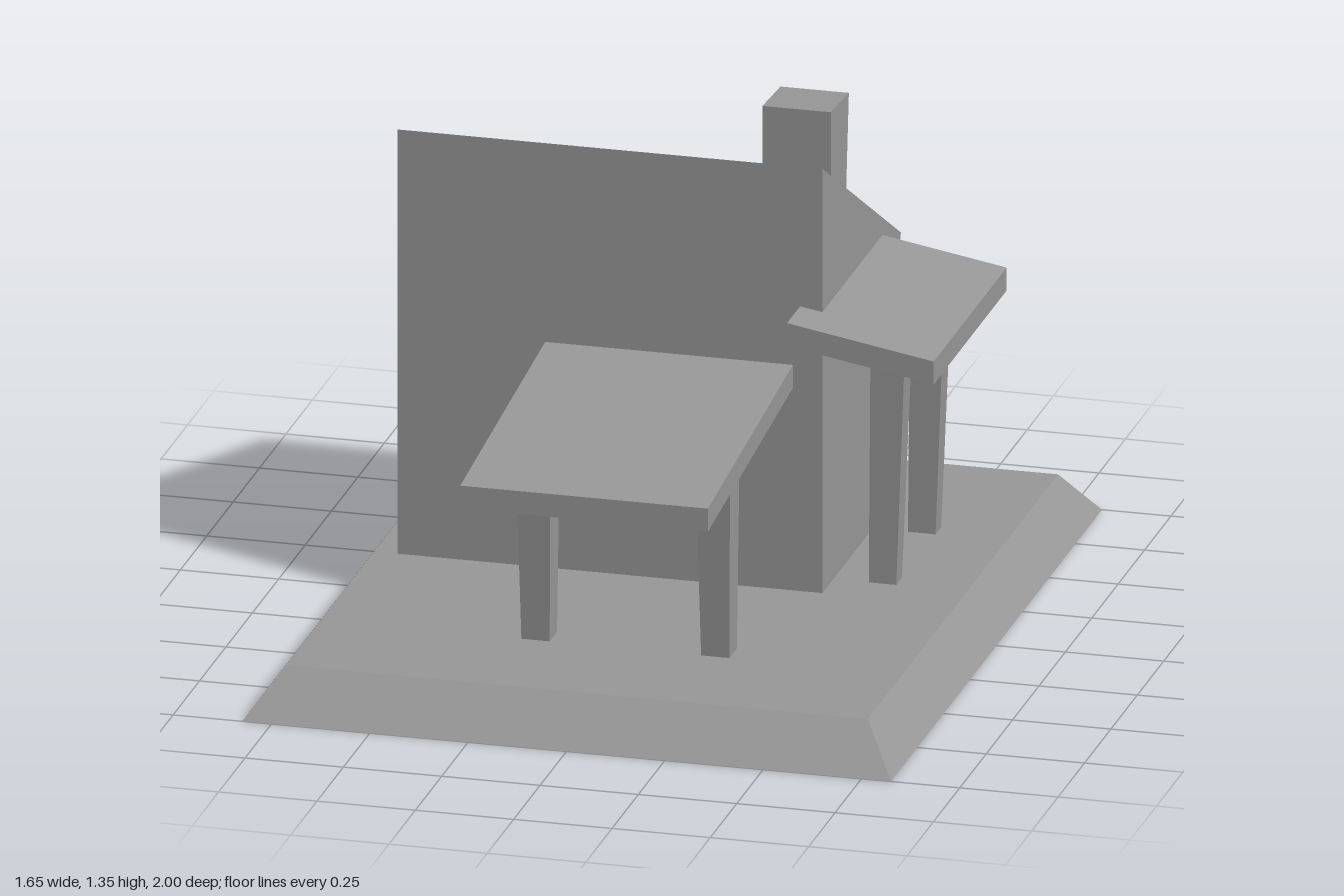
import * as THREE from 'three';

const grey = new THREE.MeshStandardMaterial({ color: 0x999999 });
grey.name = 'plain grey';

function add(group, name, geometry) {
  const mesh = new THREE.Mesh(geometry, grey);
  mesh.name = name;
  group.add(mesh);
}

// Four-sided block whose bottom and top rectangles [x0, x1, z0, z1] differ
function taper(y0, y1, bottom, top) {
  const geo = new THREE.BoxGeometry(1, 1, 1);
  const p = geo.attributes.position;
  for (let i = 0; i < p.count; i++) {
    const up = p.getY(i) > 0;
    const r = up ? top : bottom;
    p.setXYZ(i, r[p.getX(i) > 0 ? 1 : 0], up ? y1 : y0, r[p.getZ(i) > 0 ? 3 : 2]);
  }
  geo.computeVertexNormals();
  return geo;
}

function extrude(points, depth) {
  const shape = new THREE.Shape(points.map(([a, b]) => new THREE.Vector2(a, b)));
  return new THREE.ExtrudeGeometry(shape, { depth, bevelEnabled: false });
}

// Profile of (z, y) points carried from x0 to x1
const alongX = (points, x0, x1) =>
  extrude(points, x1 - x0).rotateY(-Math.PI / 2).translate(x1, 0, 0);

// Profile of (x, y) points carried from z0 to z1
const alongZ = (points, z0, z1) => extrude(points, z1 - z0).translate(0, 0, z0);

export function createModel() {
  const model = new THREE.Group();
  model.name = 'house';
  const ground = 0.12;

  // Sloping-edged base slab
  add(model, 'base', taper(0, ground, [-0.825, 0.825, -1, 1], [-0.74, 0.74, -0.9, 0.9]));

  // House body with a single-pitch roof and a leaning back wall
  add(model, 'houseBody', alongX(
    [[0.065, ground], [0.065, 1.23], [-0.677, 0.8], [-0.58, ground]], -0.68, 0.4));

  // Chimney standing on the roof slope
  add(model, 'chimney', alongX(
    [[-0.014, 1.184], [-0.014, 1.35], [-0.185, 1.34], [-0.16, 1.1]], 0.226, 0.4));

  // Front awning and its posts
  add(model, 'frontAwning', alongX(
    [[0.065, 0.65], [0.87, 0.56], [0.87, 0.62], [0.065, 0.71]], -0.305, 0.325));
  for (const x of [-0.194, 0.263]) {
    add(model, 'frontPost', taper(ground, 0.62,
      [x - 0.036, x + 0.036, 0.5, 0.57], [x - 0.044, x + 0.044, 0.504, 0.595]));
  }

  // Side awning and its posts
  add(model, 'sideAwning', alongZ(
    [[0.343, 0.805], [0.716, 0.74], [0.716, 0.8], [0.343, 0.865]], -0.503, 0.189));
  for (const z of [-0.065, -0.437]) {
    add(model, 'sidePost', taper(ground, 0.79,
      [0.49, 0.56, z - 0.027, z + 0.027], [0.497, 0.586, z - 0.035, z + 0.035]));
  }

  return model;
}
